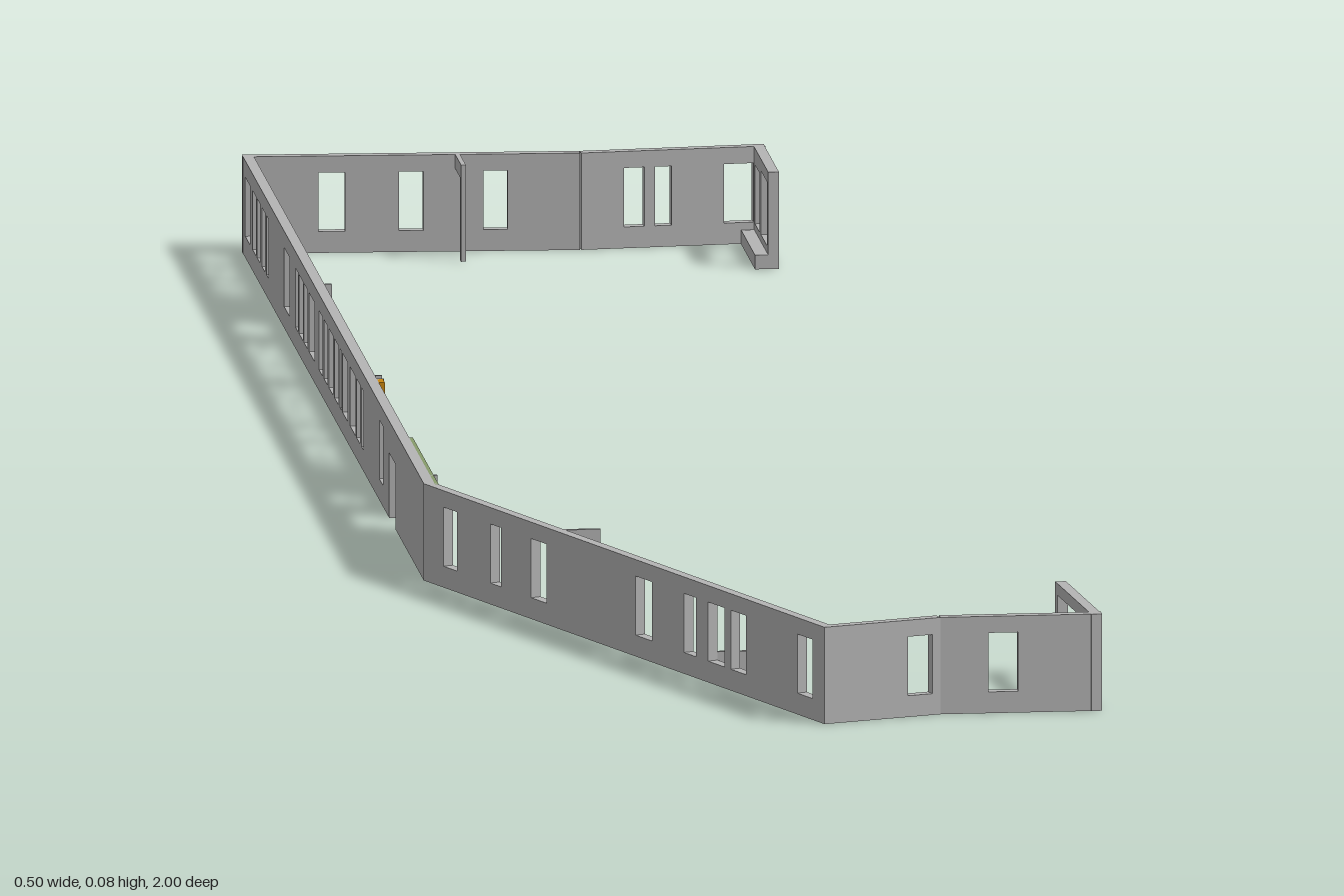
import * as THREE from 'three';

const H = 0.082, T = 0.009, SILL = 0.018, HEAD = 0.068;

const mat = (name, color) => {
  const m = new THREE.MeshStandardMaterial({ color });
  m.name = name;
  return m;
};

export function createModel() {
  const grey = mat('wall grey', 0xb4b4b4);
  const green = mat('panel green', 0x879b6b);
  const orange = mat('post orange', 0xc9860f);
  const model = new THREE.Group();
  model.name = 'facade';

  // Wall from a to b ([x, z]), outside on local +z, thickened inwards.
  // Openings are [from, to, sill, head], measured along world x or z.
  function wall(name, a, b, axis, openings = [], doors = []) {
    const dx = b[0] - a[0], dz = b[1] - a[1], len = Math.hypot(dx, dz);
    const along = v => (v - a[axis]) / (b[axis] - a[axis]) * len;
    const span = (u, v) => [along(u), along(v)].sort((p, q) => p - q);
    const s = new THREE.Shape();
    s.moveTo(0, 0);
    for (const [u, v, top] of doors) {
      const [l, r] = span(u, v);
      s.lineTo(l, 0); s.lineTo(l, top); s.lineTo(r, top); s.lineTo(r, 0);
    }
    s.lineTo(len, 0); s.lineTo(len, H); s.lineTo(0, H); s.closePath();
    for (const [u, v, lo = SILL, hi = HEAD] of openings) {
      const [l, r] = span(u, v);
      const hole = new THREE.Path();
      hole.moveTo(l, lo); hole.lineTo(l, hi); hole.lineTo(r, hi); hole.lineTo(r, lo);
      hole.closePath();
      s.holes.push(hole);
    }
    const geo = new THREE.ExtrudeGeometry(s, { depth: T, bevelEnabled: false });
    geo.translate(0, 0, -T);
    const mesh = new THREE.Mesh(geo, grey);
    mesh.name = name;
    mesh.position.set(a[0], 0, a[1]);
    mesh.rotation.y = Math.atan2(-dz, dx);
    model.add(mesh);
  }

  // Box given by its ranges on each axis
  function box(name, m, x0, x1, y0, y1, z0, z1) {
    const mesh = new THREE.Mesh(new THREE.BoxGeometry(x1 - x0, y1 - y0, z1 - z0), m);
    mesh.name = name;
    mesh.position.set((x0 + x1) / 2, (y0 + y1) / 2, (z0 + z1) / 2);
    model.add(mesh);
  }

  // Corners of the facade, from the back end round to the front end
  const backEnd = [0.185, -0.997], backBend = [0.03, -0.985], backCorner = [-0.25, -1];
  const sideBend = [-0.25, 0.37], frontCorner = [0.015, 0.998];
  const frontBend = [0.115, 0.968], frontEnd = [0.25, 0.968];

  // Back wall, in two slightly bent bays
  wall('backWallLeft', backEnd, backBend, 0, [[0.15, 0.175], [0.092, 0.106], [0.066, 0.083]]);
  wall('backWallRight', backBend, backCorner, 0,
    [[-0.05, -0.03], [-0.12, -0.1], [-0.187, -0.165]]);

  // Long side wall with its row of windows and a door
  wall('sideWall', backCorner, sideBend, 1, [
    [-0.975, -0.94], [-0.92, -0.895], [-0.885, -0.865], [-0.85, -0.825], [-0.815, -0.8],
    [-0.683, -0.64], [-0.597, -0.577], [-0.57, -0.54], [-0.533, -0.506], [-0.494, -0.452],
    [-0.42, -0.392], [-0.382, -0.355], [-0.345, -0.312], [-0.302, -0.272], [-0.262, -0.25],
    [-0.242, -0.204], [-0.184, -0.146], [-0.136, -0.112], [-0.1, -0.083], [0.035, 0.062],
  ], [[0.11, 0.158, 0.055]]);

  // Slanted wall
  wall('slantedWall', sideBend, frontCorner, 0, [
    [-0.237, -0.228], [-0.206, -0.199], [-0.179, -0.169], [-0.11, -0.099],
    [-0.078, -0.07], [-0.062, -0.051], [-0.047, -0.037], [-0.003, 0.007],
  ]);

  // Front wall and its short return
  wall('frontWallRight', frontCorner, frontBend, 0, [[0.087, 0.108]]);
  wall('frontWallLeft', frontBend, frontEnd, 0, [[0.155, 0.18]]);
  wall('frontReturn', frontEnd, [0.235, 0.83], 1,
    [[0.957, 0.92], [0.912, 0.838, 0.022, 0.072]]);

  // Back return: an open frame with a wide sill
  wall('backReturn', [0.185, -0.88], backEnd, 1, [[-0.89, -0.935, 0.018, 0.072], [-0.945, -0.98]]);
  box('backReturnSill', grey, 0.165, 0.184, 0, 0.012, -0.985, -0.88);

  // Painted panel and post on the inner face of the side wall
  const inner = -0.25 + T;
  box('greenPanel', green, inner, inner + 0.003, 0, H, 0.18, 0.374);
  box('orangePost', orange, inner, inner + 0.005, 0, H, -0.066, -0.05);

  // Stubs of inner partitions
  box('partition', grey, -0.162, -0.125, 0, H, 0.57, 0.574);
  box('lowPartition', grey, -0.06, -0.025, 0, 0.025, 0.808, 0.812);
  box('backPartitionPost', grey, -0.074, -0.07, 0, H, -0.945, -0.938);
  box('backPartitionHead', grey, -0.074, -0.07, 0.07, H, -0.987, -0.94);
  box('sidePartition', grey, inner, -0.205, 0, 0.012, -0.279, -0.276);
  for (const z of [-0.46, -0.08, -0.065, 0.335])
    box('wallStub', grey, inner, -0.235, 0, H, z - 0.0015, z + 0.0015);

  return model;
}
